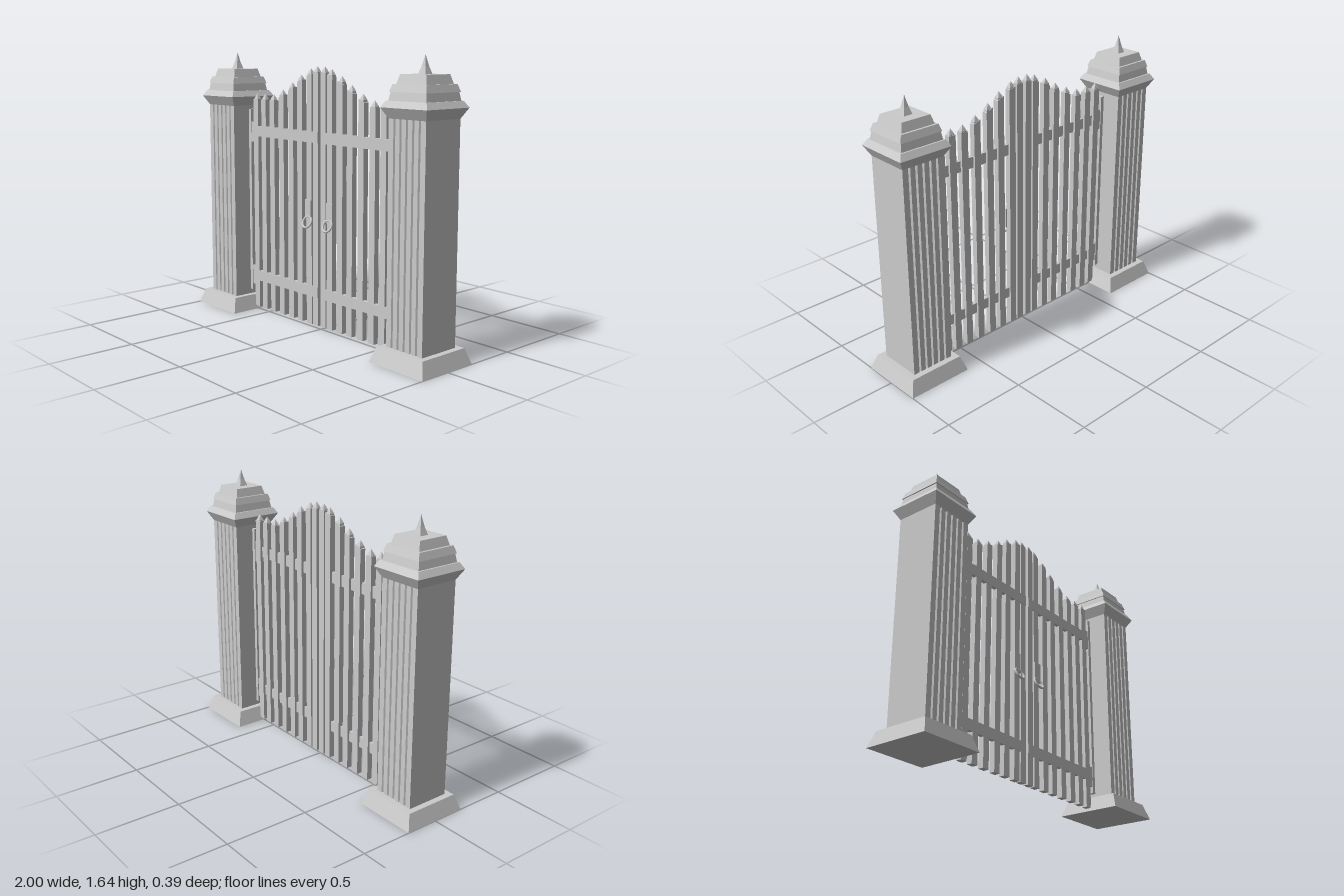
import * as THREE from 'three';

const material = new THREE.MeshStandardMaterial({ color: 0xcccccc, flatShading: true });
const smooth = new THREE.MeshStandardMaterial({ color: 0xcccccc });

function part(name, geometry, parent, x = 0, y = 0, z = 0, mat = material) {
  const mesh = new THREE.Mesh(geometry, mat);
  mesh.name = name;
  mesh.position.set(x, y, z);
  parent.add(mesh);
  return mesh;
}

// Box given by its min and max on each axis
function span(name, parent, x0, x1, y0, y1, z0, z1) {
  return part(name, new THREE.BoxGeometry(x1 - x0, y1 - y0, z1 - z0), parent,
    (x0 + x1) / 2, (y0 + y1) / 2, (z0 + z1) / 2);
}

// Square tower from [half width, height] pairs, listed bottom to top
function squareProfile(pairs) {
  const points = pairs.map(([w, y]) => new THREE.Vector2(w * Math.SQRT2, y));
  return new THREE.LatheGeometry(points, 4, Math.PI / 4);
}

// Square shaft with V grooves on the front and back faces
function shaftGeometry() {
  const h = 0.13, half = 0.007, depth = 0.014;
  const shape = new THREE.Shape();
  shape.moveTo(-h, -h);
  for (const s of [1, -1]) {
    for (let i = -2; i <= 2; i++) {
      const c = i * 0.044;
      shape.lineTo(s * (c - half), -s * h);
      shape.lineTo(s * c, -s * (h - depth));
      shape.lineTo(s * (c + half), -s * h);
    }
    shape.lineTo(s * h, -s * h);
    shape.lineTo(s * h, s * h);
  }
  const geometry = new THREE.ExtrudeGeometry(shape, { depth: 1.23, bevelEnabled: false });
  return geometry.rotateX(-Math.PI / 2);
}

function addPillar(parent, x) {
  const pillar = new THREE.Group();
  pillar.name = 'pillar';
  pillar.position.x = x;
  parent.add(pillar);
  part('pillarBase', squareProfile([[0, 0], [0.195, 0], [0.165, 0.09], [0, 0.09]]), pillar);
  part('pillarShaft', shaftGeometry(), pillar, 0, 0.085);
  part('pillarCap', squareProfile([
    [0, 1.313], [0.13, 1.313], [0.162, 1.37], [0.141, 1.405], [0.132, 1.405], [0.124, 1.45],
    [0.13, 1.45], [0.117, 1.49], [0.104, 1.49], [0.09, 1.54], [0, 1.54],
  ]), pillar);
  part('pillarSpike', squareProfile([[0.027, 1.538], [0.014, 1.58], [0.006, 1.615], [0, 1.643]]), pillar);
}

// Picket whose top edge follows the slope of the arch
function addPicket(parent, x, top, slope, side) {
  const bottom = 0.02, width = 0.045;
  const geometry = new THREE.BoxGeometry(width, top - bottom, 0.034);
  const pos = geometry.attributes.position;
  for (let i = 0; i < pos.count; i++) {
    if (pos.getY(i) > 0) pos.setY(i, pos.getY(i) - side * slope * pos.getX(i));
  }
  part('picket', geometry, parent, side * x, (top + bottom) / 2, -0.003);
  const tip = squareProfile([[0.018, -0.01], [0.017, 0.004], [0.01, 0.02], [0, 0.038]]);
  tip.scale(1, 1, 0.85);
  part('picketTip', tip, parent, side * x, top, -0.003);
}

// x centre, shoulder height, slope of the top
const PICKETS = [
  [0.033, 1.53, 0], [0.09, 1.517, 0.25], [0.177, 1.478, 0.45], [0.259, 1.43, 0.45],
  [0.35, 1.385, 0.4], [0.44, 1.353, 0], [0.524, 1.353, 0], [0.602, 1.353, 0],
];

function addLeaf(parent, side) {
  const leaf = new THREE.Group();
  leaf.name = side > 0 ? 'leftGateLeaf' : 'rightGateLeaf';
  parent.add(leaf);
  const box = (name, x0, x1, ...rest) =>
    span(name, leaf, Math.min(side * x0, side * x1), Math.max(side * x0, side * x1), ...rest);

  for (const [x, top, slope] of PICKETS) addPicket(leaf, x, top, slope, side);

  // Rails, hinges and the hanging strip on the pillar
  for (const y of [0.193, 1.123]) box('rail', 0.012, 0.635, y, y + 0.065, -0.007, 0.016);
  box('lowerHinge', 0.625, 0.665, 0.16, 0.283, -0.009, 0.011);
  box('upperHinge', 0.625, 0.665, 1.085, 1.21, -0.009, 0.011);
  box('hingeStrip', 0.652, 0.68, 0.12, 1.29, -0.014, 0.014);

  // Handle plate with a tilted ring
  box('handlePlate', 0.068, 0.12, 0.66, 0.78, 0.01, 0.022);
  const ring = part('handleRing', new THREE.TorusGeometry(0.035, 0.007, 10, 32), leaf,
    side * 0.09, 0.648, 0.032, smooth);
  ring.rotation.x = -0.45;
}

export function createModel() {
  const model = new THREE.Group();
  model.name = 'gate';
  for (const side of [-1, 1]) {
    addPillar(model, side * 0.805);
    addLeaf(model, side);
  }
  return model;
}
